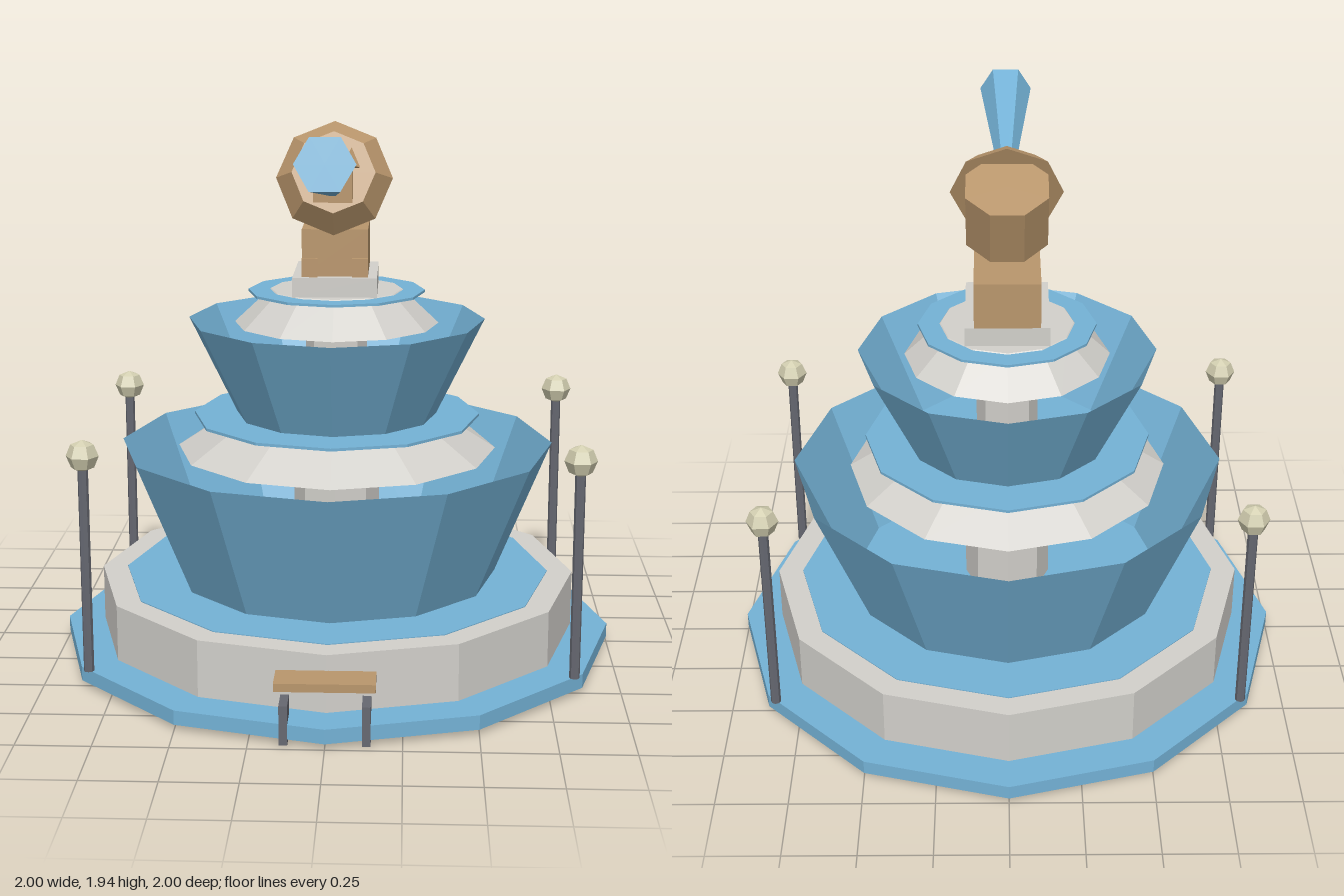
import * as THREE from 'three';

const mat = (name, color, extra = {}) => {
  const m = new THREE.MeshStandardMaterial({ color, flatShading: true, ...extra });
  m.name = name;
  return m;
};

export function createModel() {
  const model = new THREE.Group();
  model.name = 'fountain';
  const water = mat('water blue', 0x74b2d6, { side: THREE.DoubleSide });
  const stone = mat('pale stone', 0xd2d0cb);
  const bronze = mat('bronze', 0xb9966c);
  const iron = mat('iron grey', 0x666871);
  const glow = mat('lamp cream', 0xd2ceb0);

  const add = (name, geo, material, x = 0, y = 0, z = 0, parent = model) => {
    const mesh = new THREE.Mesh(geo, material);
    mesh.name = name;
    mesh.position.set(x, y, z);
    parent.add(mesh);
    return mesh;
  };
  // Faceted ring section given by its bottom and top heights and radii
  const tier = (name, material, y0, r0, y1, r1, sides = 12, open = false) =>
    add(name, new THREE.CylinderGeometry(r1, r0, y1 - y0, sides, 1, open), material, 0, (y0 + y1) / 2);
  // Box given by its min and max corners
  const box = (name, material, x0, x1, y0, y1, z0, z1) =>
    add(name, new THREE.BoxGeometry(x1 - x0, y1 - y0, z1 - z0), material,
      (x0 + x1) / 2, (y0 + y1) / 2, (z0 + z1) / 2);

  // Base and lower pool
  tier('outerPool', water, 0.02, 1, 0.07, 1);
  tier('basin', stone, 0.07, 0.866, 0.27, 0.866);
  tier('basinWater', water, 0.268, 0.775, 0.273, 0.775);

  // Lower tier
  tier('lowerColumn', stone, 0.27, 0.155, 0.75, 0.155, 8);
  tier('lowerCascade', water, 0.27, 0.58, 0.76, 0.78, 12, true);
  tier('lowerBowl', stone, 0.74, 0.575, 0.857, 0.39);
  tier('lowerBowlWater', water, 0.857, 0.515, 0.867, 0.515);

  // Upper tier
  tier('upperColumn', stone, 0.865, 0.11, 1.21, 0.11, 8);
  tier('upperCascade', water, 0.867, 0.36, 1.215, 0.53, 12, true);
  tier('upperBowl', stone, 1.2, 0.365, 1.322, 0.235);
  tier('upperBowlWater', water, 1.31, 0.315, 1.319, 0.315);

  // Plinth and seated body with paws
  box('plinth', stone, -0.147, 0.147, 1.32, 1.39, -0.18, 0.187);
  box('body', bronze, -0.115, 0.115, 1.39, 1.555, -0.18, 0.153);
  for (const s of [-1, 1]) {
    add('paw', new THREE.BoxGeometry(0.055, 0.065, 0.05), bronze, s * 0.0875, 1.4225, 0.147);
  }

  // Head tilted back, with a flared mane and ears
  const head = new THREE.Group();
  head.name = 'head';
  head.position.set(0, 1.717, 0.077);
  head.rotation.x = -0.355;
  model.add(head);
  const skull = new THREE.CylinderGeometry(0.154, 0.154, 0.22, 8);
  skull.rotateY(Math.PI / 8);
  add('skull', skull, bronze, 0, 0, 0, head);
  const mane = new THREE.CylinderGeometry(0.142, 0.2, 0.08, 8);
  mane.rotateX(Math.PI / 2);
  add('mane', mane, bronze, 0, -0.02, 0.152, head);
  for (const s of [-1, 1]) {
    add('ear', new THREE.ConeGeometry(0.03, 0.07, 4), bronze, s * 0.06, 0.03, 0.2, head);
  }
  box('snout', bronze, -0.066, 0.066, 1.67, 1.8, 0.2, 0.33);
  box('mouthSpout', bronze, -0.04, 0.04, 1.685, 1.73, 0.32, 0.352);

  // Water jet widening away from the mouth
  const from = new THREE.Vector3(0, 1.711, 0.337);
  const to = new THREE.Vector3(0, 1.861, 0.917);
  const axis = to.clone().sub(from);
  const jetGeo = new THREE.CylinderGeometry(0.096, 0.02, axis.length(), 6);
  jetGeo.rotateY(Math.PI / 6);
  const jet = add('waterJet', jetGeo, water);
  jet.position.copy(from).add(to).multiplyScalar(0.5);
  jet.rotation.x = Math.atan2(axis.z, axis.y);

  // Four lamp posts
  for (const x of [-0.835, 0.835]) {
    for (const z of [-0.532, 0.532]) {
      add('lampPost', new THREE.CylinderGeometry(0.018, 0.018, 0.74, 8), iron, x, 0.44, z);
      add('lampGlobe', new THREE.SphereGeometry(0.056, 6, 4), glow, x, 0.838, z);
    }
  }

  // Bench at the front
  box('benchSeat', bronze, -0.165, 0.163, 0.188, 0.216, 0.864, 0.98);
  for (const x of [-0.135, 0.133]) {
    box('benchLeg', iron, x - 0.014, x + 0.014, 0, 0.135, 0.873, 0.97);
  }
  return model;
}
